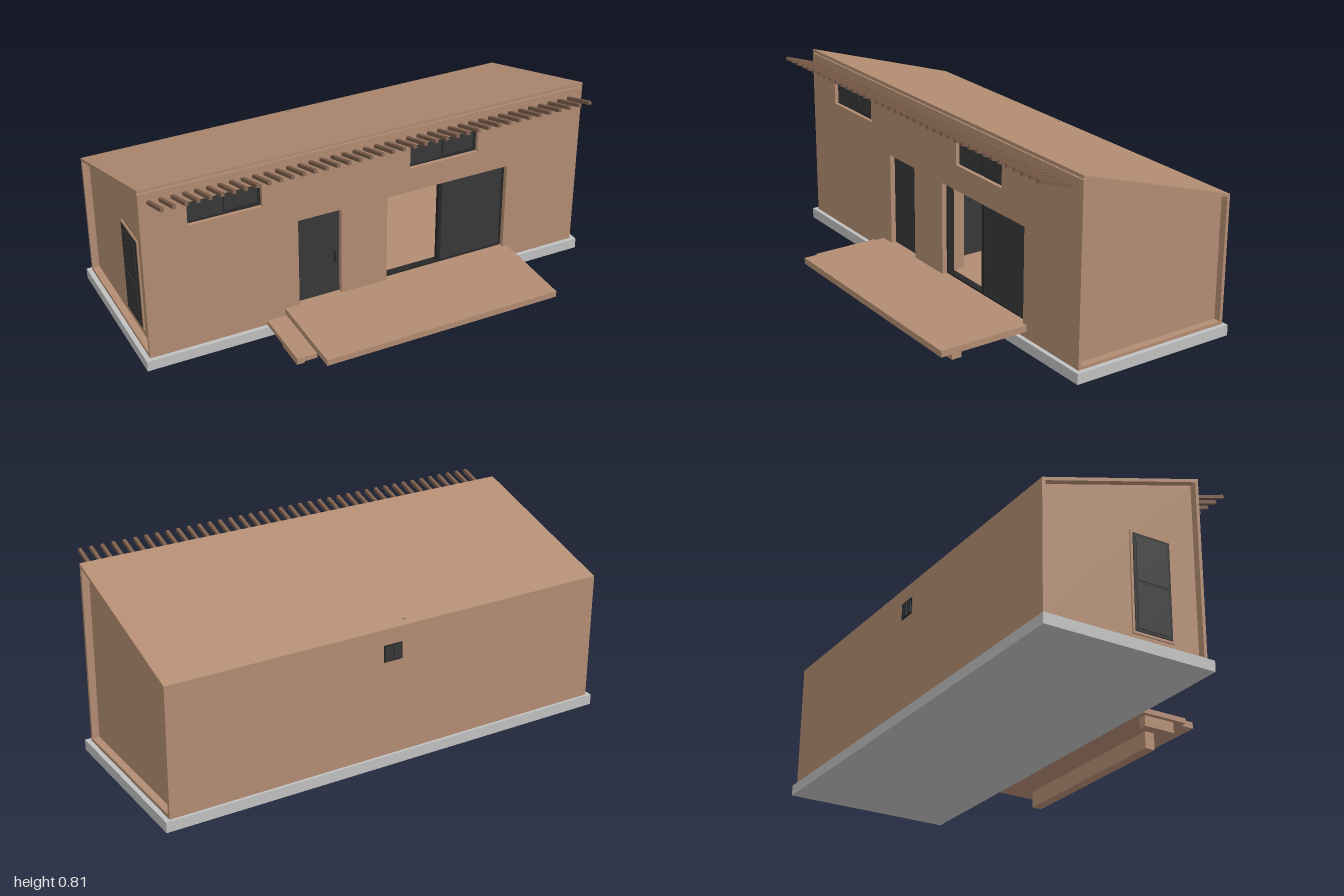
import * as THREE from 'three';

const mat = (name, color) => {
  const m = new THREE.MeshStandardMaterial({ color });
  m.name = name;
  return m;
};

export function createModel() {
  const house = new THREE.Group();
  house.name = 'house';
  const timber = mat('timber', 0xb28c72);
  const slatWood = mat('dark timber', 0x7a5c4a);
  const concrete = mat('concrete', 0xc0c0c0);
  const glass = mat('charcoal glass', 0x383838);
  const frame = mat('black frame', 0x282828);

  const add = (name, geometry, material, parent = house) => {
    const m = new THREE.Mesh(geometry, material);
    m.name = name;
    parent.add(m);
    return m;
  };
  // Box given by its extents on each axis
  const box = (name, material, x0, x1, y0, y1, z0, z1, parent) => {
    const g = new THREE.BoxGeometry(x1 - x0, y1 - y0, z1 - z0);
    g.translate((x0 + x1) / 2, (y0 + y1) / 2, (z0 + z1) / 2);
    return add(name, g, material, parent);
  };
  // Profile in (z, y), extruded from x0 to x1
  const prism = (name, material, pts, x0, x1) => {
    const s = new THREE.Shape(pts.map(p => new THREE.Vector2(...p)));
    const g = new THREE.ExtrudeGeometry(s, { depth: x1 - x0, bevelEnabled: false });
    g.rotateY(-Math.PI / 2);
    g.translate(x1, 0, 0);
    return add(name, g, material);
  };

  const W = 0.98, F = 0.167, B = -0.543, base = 0.045, T = 0.014;
  const roofY = z => 0.59 + (z - B) / (F - B) * 0.222;

  // Foundation
  box('foundation', concrete, -1, 1, 0, base, -0.555, 0.185);

  // Shell: roof, back wall and floor
  prism('roof', timber, [[B, roofY(B) - T], [F, roofY(F) - T], [F, roofY(F)], [B, roofY(B)]], -W, W);
  prism('backWall', timber, [[B, base], [B + T, base], [B + T, roofY(B + T) - T], [B, roofY(B) - T]], -W, W);
  box('floor', timber, -W, W, base, base + T, B + T, F - T);
  box('interiorFloor', timber, -0.94, 0.94, base + T, 0.095, B + T, F - T);
  box('interiorBackLining', concrete, -0.94, 0.94, 0.095, 0.57, B + T, B + T + 0.008);
  box('interiorPartition', glass, -0.07, -0.05, 0.095, 0.6, B + 0.03, 0.05);

  // Front wall with openings: a thin outer skin and a thick inner wall
  const leftWindow = [-0.79, -0.48, 0.607, 0.71], rightWindow = [0.17, 0.483, 0.607, 0.71];
  const door = [-0.33, -0.14, 0.1, 0.5], slider = [0.068, 0.632, 0.1, 0.5];
  const rect = (path, [x0, x1, y0, y1]) => path.moveTo(x0, y0).lineTo(x1, y0).lineTo(x1, y1).lineTo(x0, y1).closePath();
  const wall = (name, half, top, z0, z1) => {
    const s = rect(new THREE.Shape(), [-half, half, base, top]);
    for (const o of [leftWindow, rightWindow, door, slider]) s.holes.push(rect(new THREE.Path(), o));
    const g = new THREE.ExtrudeGeometry(s, { depth: z1 - z0, bevelEnabled: false });
    g.translate(0, 0, z0);
    add(name, g, timber);
  };
  wall('frontWall', W, roofY(F - T) - T, F - T, F);
  wall('frontInnerWall', 0.94, 0.75, 0.06, F - T);

  // Recessed end walls
  for (const s of [-1, 1]) {
    const xs = [s * 0.935, s * 0.95].sort((a, b) => a - b);
    prism(s > 0 ? 'leftEndWall' : 'rightEndWall', timber,
      [[B + T, base + T], [F - T, base + T], [F - T, roofY(F - T) - T], [B + T, roofY(B + T) - T]], xs[0], xs[1]);
  }

  // Rectangular frame lying in the xy plane
  const border = (name, [x0, x1, y0, y1], w, z, depth, parent) => {
    const s = rect(new THREE.Shape(), [x0, x1, y0, y1]);
    s.holes.push(rect(new THREE.Path(), [x0 + w, x1 - w, y0 + w, y1 - w]));
    const g = new THREE.ExtrudeGeometry(s, { depth, bevelEnabled: false });
    g.translate(0, 0, z);
    add(name, g, frame, parent);
  };

  // High windows: fixed pane plus a sliding sash
  const rz = F - 0.022;
  for (const [name, o] of [['leftHighWindow', rightWindow], ['rightHighWindow', leftWindow]]) {
    const g = new THREE.Group();
    g.name = name;
    house.add(g);
    box('pane', glass, ...o, rz - 0.01, rz, g);
    border('windowFrame', o, 0.005, rz, 0.005, g);
    const mid = (o[0] + o[1]) / 2;
    border('sash', [mid, o[1] - 0.005, o[2] + 0.008, o[3] - 0.008], 0.005, rz, 0.004, g);
  }

  // Entry door and handle
  box('entryDoor', glass, ...door, rz - 0.015, rz);
  box('doorHandle', frame, -0.164, -0.158, 0.25, 0.3, rz, rz + 0.012);

  // Sliding glass door, one half open
  border('sliderFrame', slider, 0.008, rz - 0.03, 0.03);
  box('sliderPane', glass, 0.335, 0.626, 0.106, 0.494, rz - 0.02, rz - 0.004);
  box('sliderStile', frame, 0.32, 0.336, 0.106, 0.494, rz - 0.02, rz);

  // Glazed door in the right end wall
  const sx = -0.95;
  box('sideDoorTrim', timber, sx - 0.006, sx, 0.09, 0.51, -0.145, 0.04);
  box('sideDoorFrame', frame, sx - 0.009, sx, 0.1, 0.5, -0.135, 0.03);
  for (const [y0, y1] of [[0.112, 0.295], [0.307, 0.488]])
    box('sideDoorPane', glass, sx - 0.012, sx, y0, y1, -0.123, 0.018);

  // Small vent window at the back
  box('ventFrame', frame, -0.033, 0.05, 0.452, 0.523, B - 0.003, B);
  for (const x of [-0.027, 0.011])
    box('ventPane', glass, x, x + 0.033, 0.458, 0.517, B - 0.005, B);

  // Deck, its beam, and the side step
  box('deck', timber, -0.395, 0.655, 0.073, 0.1, F, 0.557);
  box('deckBeam', timber, -0.27, 0.572, 0, 0.073, 0.41, 0.455);
  box('step', timber, -0.476, -0.39, 0.045, 0.066, F, 0.457);
  box('stepSupport', timber, -0.457, -0.423, 0, 0.045, 0.27, 0.41);

  // Sunshade slats rising outward from the front wall
  const slats = new THREE.Group();
  slats.name = 'sunshade';
  house.add(slats);
  const length = 0.166, slope = Math.atan2(0.05, 0.155);
  const slatGeo = new THREE.BoxGeometry(0.014, 0.014, length);
  for (let i = 0; i < 40; i++) {
    const m = add('slat', slatGeo, slatWood, slats);
    m.position.set(-0.938 + i * 0.0475, 0.777, 0.241);
    m.rotation.x = -slope;
  }
  return house;
}
